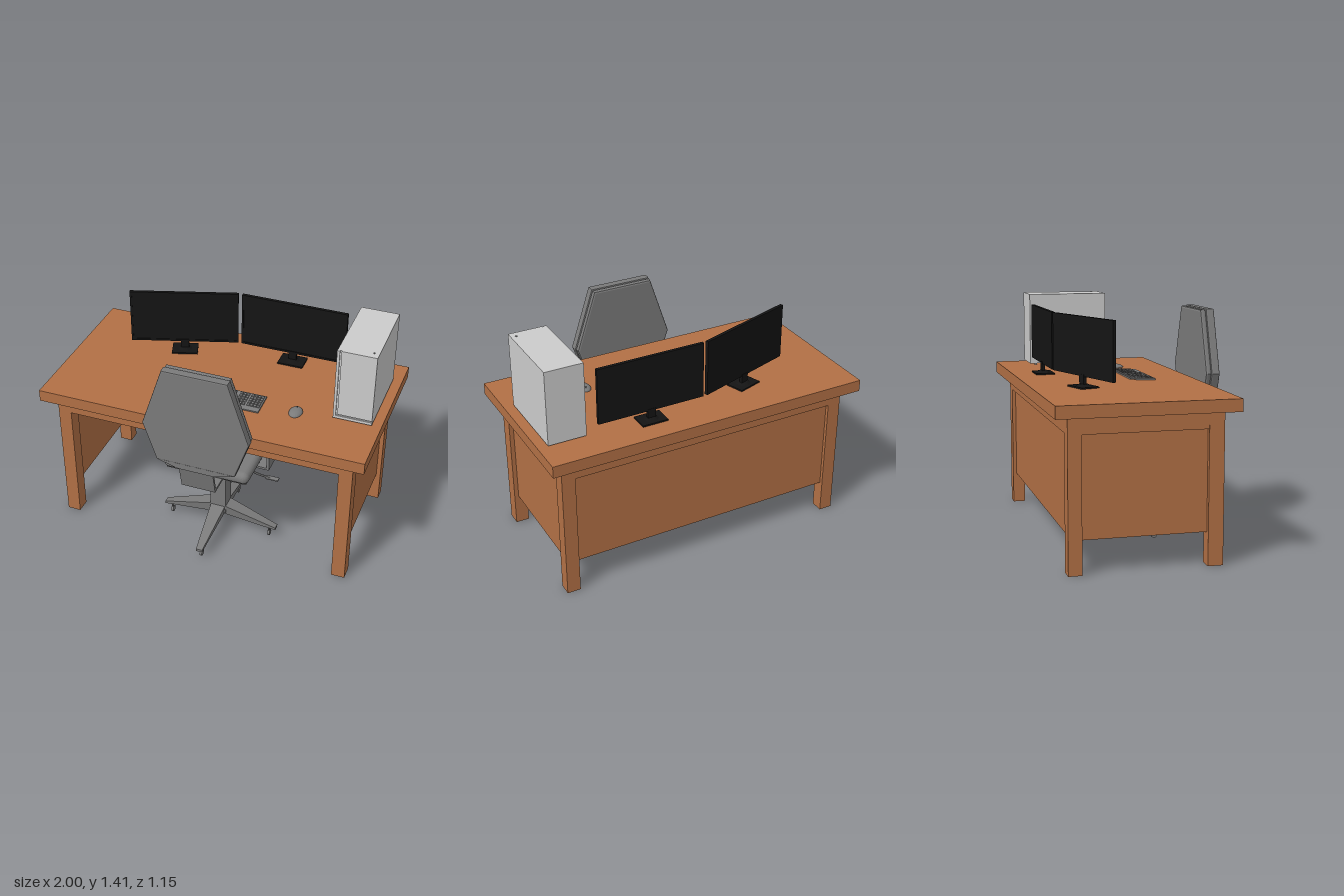
import * as THREE from 'three';
import { RoundedBoxGeometry } from 'three/addons/geometries/RoundedBoxGeometry.js';

const paint = (color) => new THREE.MeshStandardMaterial({ color, flatShading: true });
const WOOD = paint(0xb27045), DARK = paint(0x7b7b7b), BLACK = paint(0x141414), KEY = paint(0x484848);
const GREY = paint(0xcccccc);

function add(parent, name, geometry, material, x = 0, y = 0, z = 0) {
  const mesh = new THREE.Mesh(geometry, material);
  mesh.name = name;
  mesh.position.set(x, y, z);
  parent.add(mesh);
  return mesh;
}

// Box given by its minimum and maximum corners
function block(parent, name, material, [x0, y0, z0], [x1, y1, z1]) {
  return add(parent, name, new THREE.BoxGeometry(x1 - x0, y1 - y0, z1 - z0), material,
    (x0 + x1) / 2, (y0 + y1) / 2, (z0 + z1) / 2);
}

function group(parent, name, x = 0, y = 0, z = 0) {
  const g = new THREE.Group();
  g.name = name;
  g.position.set(x, y, z);
  parent.add(g);
  return g;
}

function createDesk(root) {
  const desk = group(root, 'desk');
  block(desk, 'deskTop', WOOD, [-1, 0.87, -0.577], [1, 0.942, 0.453]);
  for (const s of [-1, 1]) {
    for (const [z, d] of [[0.335, 0.088], [-0.458, 0.078]])
      add(desk, 'deskLeg', new THREE.BoxGeometry(0.082, 0.87, d), WOOD, s * 0.88, 0.435, z);
    add(desk, 'sideRail', new THREE.BoxGeometry(0.08, 0.1, 0.71), WOOD, s * 0.88, 0.82, -0.064);
    add(desk, 'sidePanel', new THREE.BoxGeometry(0.03, 0.58, 0.71), WOOD, s * 0.88, 0.48, -0.064);
  }
  block(desk, 'frontRail', WOOD, [-0.84, 0.77, 0.3], [0.84, 0.87, 0.379]);
  block(desk, 'backRail', WOOD, [-0.84, 0.77, -0.497], [0.84, 0.87, -0.42]);
  block(desk, 'backPanel', WOOD, [-0.84, 0.195, -0.475], [0.84, 0.77, -0.445]);
}

// Six-sided backrest slab with bevelled rim, spanning z0 to z1
function backSlab(scale, z0, z1, bevel) {
  const half = [[0.24, 0.74], [0.322, 0.98], [0.195, 1.36]];
  const points = [...half, ...half.map(([x, y]) => [-x, y]).reverse()]
    .map(([x, y]) => new THREE.Vector2(x * scale, 1.05 + (y - 1.05) * scale));
  return new THREE.ExtrudeGeometry(new THREE.Shape(points), {
    depth: z1 - z0 - 2 * bevel, bevelEnabled: true, bevelSize: bevel,
    bevelOffset: -bevel, bevelThickness: bevel, bevelSegments: 2,
  }).translate(0, 0, z0 + bevel);
}

// Star-base leg: box tapering from the hub out along +z
function baseLeg() {
  const g = new THREE.BoxGeometry(2, 1, 1);
  const p = g.attributes.position;
  for (let i = 0; i < p.count; i++) {
    const far = p.getZ(i) > 0, top = p.getY(i) > 0;
    const y = far ? (top ? 0.08 : 0.064) : (top ? 0.197 : 0.12);
    p.setXYZ(i, p.getX(i) * (far ? 0.02 : top ? 0.05 : 0.04), y, far ? 0.37 : 0);
  }
  return g;
}

function createChair(root) {
  const chair = group(root, 'chair', 0.048, 0, 0.168);

  // Star base and casters
  for (let i = 0; i < 4; i++) {
    const a = i * Math.PI / 2;
    add(chair, 'baseLeg', baseLeg(), DARK).rotation.y = a;
    const caster = group(chair, 'caster', Math.sin(a) * 0.325, 0, Math.cos(a) * 0.325);
    const stem = new THREE.CatmullRomCurve3([[0.08, 0.005], [0.06, 0.01], [0.045, 0.006], [0.02, 0]]
      .map(([y, z]) => new THREE.Vector3(0, y, z)));
    add(caster, 'casterStem', new THREE.TubeGeometry(stem, 6, 0.006, 6), DARK);
    add(caster, 'casterWheel', new THREE.CylinderGeometry(0.02, 0.02, 0.014, 14).rotateZ(Math.PI / 2), DARK, 0, 0.02);
  }
  block(chair, 'column', DARK, [-0.05, 0.13, -0.05], [0.05, 0.56, 0.05]);

  // Height lever with flat paddle
  const path = new THREE.CatmullRomCurve3([[0.04, 0.51], [0.15, 0.485], [0.26, 0.458], [0.32, 0.453]]
    .map(([x, y]) => new THREE.Vector3(x, y, 0)));
  add(chair, 'lever', new THREE.TubeGeometry(path, 12, 0.007, 6), DARK);
  add(chair, 'leverPaddle', new RoundedBoxGeometry(0.08, 0.01, 0.035, 2, 0.005), DARK, 0.335, 0.452, 0);

  // Seat and its plate
  add(chair, 'seat', new RoundedBoxGeometry(0.535, 0.078, 0.53, 4, 0.036), DARK, 0, 0.604, 0);
  block(chair, 'seatBase', DARK, [-0.25, 0.558, -0.24], [0.25, 0.58, 0.24]);
  block(chair, 'seatMount', DARK, [-0.09, 0.538, -0.1], [0.09, 0.56, 0.1]);

  // Armrests
  block(chair, 'armBar', DARK, [-0.33, 0.555, -0.1], [0.33, 0.569, 0.06]);
  for (const s of [-1, 1]) {
    add(chair, 'armPost', new THREE.BoxGeometry(0.016, 0.175, 0.16), DARK, s * 0.322, 0.643, -0.02);
    add(chair, 'armPad', new THREE.BoxGeometry(0.055, 0.018, 0.24), DARK, s * 0.327, 0.735, -0.02);
  }

  // Back support bracket, bent upward behind the seat
  const bend = [[0, 0.555], [0.364, 0.555], [0.4, 0.71], [0.383, 0.71], [0.35, 0.571], [0, 0.571]]
    .map(([z, y]) => new THREE.Vector2(-z, y));
  const support = new THREE.ExtrudeGeometry(new THREE.Shape(bend), { depth: 0.21, bevelEnabled: false });
  add(chair, 'backSupport', support.rotateY(Math.PI / 2), DARK, -0.105);
  const clamp = new THREE.Shape([[-0.11, 0.705], [0.11, 0.705], [0.24, 0.742], [-0.24, 0.742]]
    .map(([x, y]) => new THREE.Vector2(x, y)));
  add(chair, 'backClamp', new THREE.ExtrudeGeometry(clamp, { depth: 0.044, bevelEnabled: false }), DARK, 0, 0, 0.362);
  add(chair, 'backShell', backSlab(1, 0.357, 0.408, 0.008), DARK);
  add(chair, 'backCushion', backSlab(0.985, 0.322, 0.358, 0.012), DARK);
}

function createMonitor(root, x, z, turn) {
  const monitor = group(root, 'monitor', x, 0.942, z);
  monitor.rotation.y = turn;
  block(monitor, 'monitorFoot', BLACK, [-0.08, 0, -0.058], [0.08, 0.009, 0.058]);
  add(monitor, 'monitorNeckFlare', new THREE.CylinderGeometry(0.025, 0.045, 0.012, 12), BLACK, 0, 0.014, 0);
  block(monitor, 'monitorNeck', BLACK, [-0.025, 0.01, -0.012], [0.025, 0.075, 0.008]);
  block(monitor, 'monitorBody', BLACK, [-0.332, 0.064, -0.01], [0.332, 0.407, 0.006]);
  // Raised bezel round the screen
  for (const s of [-1, 1]) {
    add(monitor, 'bezelSide', new THREE.BoxGeometry(0.012, 0.343, 0.004), BLACK, s * 0.326, 0.2355, 0.008);
    add(monitor, 'bezelEdge', new THREE.BoxGeometry(0.64, 0.012, 0.004), BLACK, 0, 0.2355 + s * 0.1655, 0.008);
  }
}

function createTower(root) {
  const tower = group(root, 'computerTower');
  block(tower, 'towerCase', GREY, [0.716, 0.956, -0.393], [0.946, 1.41, 0.104]);
  // Raised front door and vertical and lower trim
  block(tower, 'towerDoor', GREY, [0.742, 0.984, 0.104], [0.946, 1.41, 0.112]);
  block(tower, 'towerTrim', GREY, [0.716, 0.956, 0.104], [0.732, 1.41, 0.112]);
  block(tower, 'towerSill', GREY, [0.732, 0.956, 0.104], [0.946, 0.974, 0.112]);
  add(tower, 'powerButton', new THREE.CylinderGeometry(0.006, 0.006, 0.005, 12), DARK, 0.915, 1.411, 0.065);
  for (const x of [0.76, 0.905]) for (const z of [-0.35, 0.065])
    add(tower, 'towerFoot', new THREE.CylinderGeometry(0.009, 0.009, 0.016, 10), GREY, x, 0.949, z);
}

function createKeyboard(root) {
  const board = group(root, 'keyboard', 0.068, 0.943, 0.13);
  board.rotation.x = 0.05;
  add(board, 'keyboardBase', new THREE.BoxGeometry(0.455, 0.01, 0.158), DARK, 0, 0.006, 0);
  // Key blocks: [start x, number of keys, rows]
  for (const [start, count, rows] of [[-0.215, 13, 6], [0.072, 3, 5], [0.142, 4, 5]])
    for (let r = 0; r < rows; r++)
      for (let c = 0; c < count; c++) {
        if (start < 0 && r === 5 && c > 3 && c < 9) continue;
        add(board, 'key', new THREE.BoxGeometry(0.016, 0.007, 0.017), DARK,
          start + 0.008 + c * 0.0205, 0.013, -0.058 + r * 0.0225);
      }
  add(board, 'spaceBar', new THREE.BoxGeometry(0.1, 0.007, 0.017), DARK, -0.082, 0.013, 0.0545);
}

function createMouse(root) {
  const mouse = group(root, 'mouse', 0.497, 0.942, 0.123);
  const shell = new THREE.SphereGeometry(1, 20, 8, 0, Math.PI * 2, 0, Math.PI / 2);
  add(mouse, 'mouseBody', shell, DARK).scale.set(0.04, 0.023, 0.056);
  add(mouse, 'mouseWheel', new THREE.CylinderGeometry(0.006, 0.006, 0.005, 12).rotateZ(Math.PI / 2), KEY, 0, 0.018, -0.03);
}

export function createModel() {
  const root = new THREE.Group();
  root.name = 'officeDesk';
  createDesk(root);
  createChair(root);
  createMonitor(root, 0.312, -0.386, 0);
  createMonitor(root, -0.36, -0.282, 0.315);
  createTower(root);
  createKeyboard(root);
  createMouse(root);
  return root;
}
